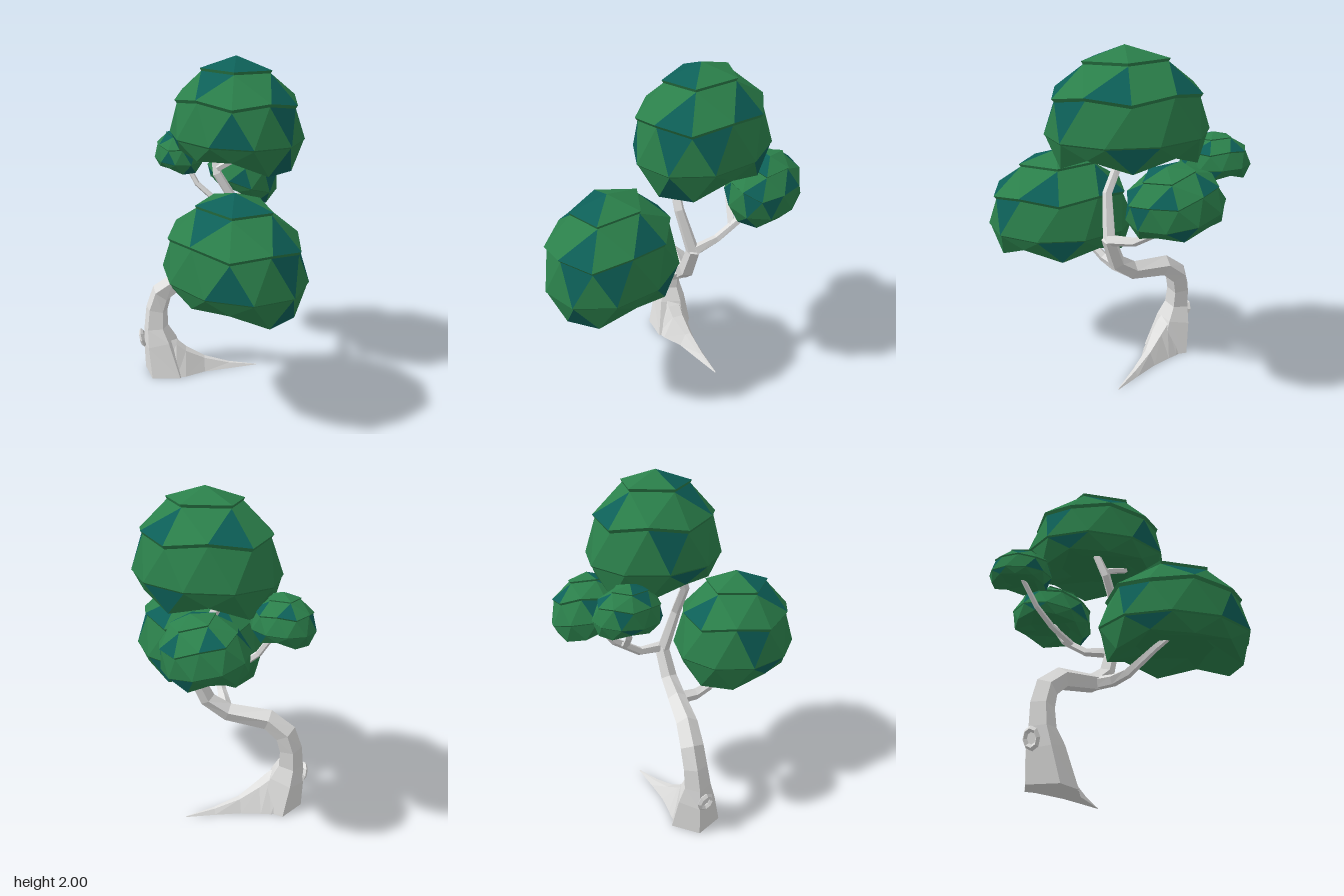
import * as THREE from 'three';

const bark = new THREE.MeshStandardMaterial({ color: 0xdededd, flatShading: true, name: 'paleBark' });
const green = new THREE.MeshStandardMaterial({ color: 0x2b804b, flatShading: true, name: 'leafGreen' });
const teal = new THREE.MeshStandardMaterial({ color: 0x0d6058, flatShading: true, name: 'leafTeal' });

const V = (x, y, z) => new THREE.Vector3(x, y, z);

function facesToGeometry(points) {
  const g = new THREE.BufferGeometry().setFromPoints(points);
  g.computeVertexNormals();
  return g;
}

// Skin a list of equal-sized rings and close both ends
function loft(rings) {
  const out = [], n = rings[0].length;
  for (let i = 0; i < rings.length - 1; i++)
    for (let j = 0; j < n; j++) {
      const k = (j + 1) % n, a = rings[i], b = rings[i + 1];
      out.push(a[j], b[j], b[k], a[j], b[k], a[k]);
    }
  const first = rings[0], last = rings[rings.length - 1];
  for (let j = 1; j < n - 1; j++) {
    out.push(first[0], first[j], first[j + 1]);
    out.push(last[0], last[j + 1], last[j]);
  }
  return facesToGeometry(out);
}

// Tapering five-sided limb through points [x, y, z, radius]
function limb(name, path) {
  const pts = path.map(p => V(p[0], p[1], p[2]));
  const rings = pts.map((p, i) => {
    const t = pts[Math.min(i + 1, pts.length - 1)].clone().sub(pts[Math.max(i - 1, 0)]).normalize();
    if (i === 0 && p.y === 0) t.set(0, 1, 0);
    const q = new THREE.Quaternion().setFromUnitVectors(V(0, 1, 0), t);
    return Array.from({ length: 5 }, (_, j) => {
      const a = (j + 0.75) / 5 * Math.PI * 2;
      return V(Math.cos(a), 0, Math.sin(a)).multiplyScalar(path[i][3]).applyQuaternion(q).add(p);
    });
  });
  const mesh = new THREE.Mesh(loft(rings), bark);
  mesh.name = name;
  return mesh;
}

const tealFaces = new Set([0, 1, 5, 9, 14, 17, 20, 23, 28, 38, 41, 46, 54]);
// Drop of the ragged hem at each of its ten corners
const hem = [-0.35, -0.35, -0.18, -0.22, -0.18, -0.33, -0.34, -0.18, -0.31, -0.17];

// Layered dome: unit sphere facets with small overhanging lips and a hollow underside
function foliageGeometry() {
  const lists = [[], []];
  let id = 0;
  const add = (a, b, c, list = 0) => lists[list].push(a, c, b);
  const leaf = (a, b, c) => add(a, b, c, tealFaces.has(id++) ? 1 : 0);
  const ring = (n, start, fn) => Array.from({ length: n }, (_, j) => {
    const a = THREE.MathUtils.degToRad(start + j * 360 / n), [r, y] = fn(j);
    return V(Math.cos(a) * r, y, Math.sin(a) * r);
  });
  const inset = (r, s, dy) => r.map(p => V(p.x * s, p.y + dy, p.z * s));
  const lip = (o, i) => o.forEach((p, j) => {
    const k = (j + 1) % o.length;
    add(p, i[j], i[k]);
    add(p, i[k], o[k]);
  });
  const apex = V(0, 1, 0);
  const cap = ring(5, 66, () => [0.54, 0.85]);
  const shoulder = ring(10, 66, j => j % 2 ? [0.88, 0.525] : [0.92, 0.46]);
  const equator = ring(10, 84, () => [1, 0.01]);
  const skirt = ring(10, 66, j => [0.86, hem[j]]);
  const cap2 = inset(cap, 0.96, -0.035);
  const shoulder2 = inset(shoulder, 0.965, -0.04);
  const equator2 = inset(equator, 0.98, -0.02);

  // Top cap
  for (let k = 0; k < 5; k++) leaf(apex, cap[k], cap[(k + 1) % 5]);
  lip(cap, cap2);
  // Upper band
  for (let k = 0; k < 5; k++) {
    const n = (k + 1) % 5, s = shoulder, m = s[2 * k + 1];
    leaf(cap2[k], s[2 * k], m);
    leaf(m, cap2[n], cap2[k]);
    leaf(cap2[n], m, s[2 * n]);
  }
  lip(shoulder, shoulder2);
  // Middle band
  for (let j = 0; j < 10; j++) {
    const k = (j + 1) % 10;
    leaf(equator[j], shoulder2[k], shoulder2[j]);
    leaf(shoulder2[k], equator[j], equator[k]);
  }
  lip(equator, equator2);
  // Hanging skirt
  for (let j = 0; j < 10; j++) {
    const k = (j + 1) % 10;
    leaf(skirt[k], equator2[k], equator2[j]);
    leaf(equator2[j], skirt[j], skirt[k]);
  }
  // Hollow underside
  const hollow = ring(10, 66, () => [0.5, -0.13]), roof = V(0, -0.06, 0);
  lip(skirt, hollow);
  hollow.forEach((p, j) => add(roof, hollow[(j + 1) % 10], p));

  const g = facesToGeometry([...lists[0], ...lists[1]]);
  g.addGroup(0, lists[0].length, 0);
  g.addGroup(lists[0].length, lists[1].length, 1);
  return g;
}

export function createModel() {
  const tree = new THREE.Group();
  tree.name = 'bonsaiTree';

  // Leaning trunk and branches
  tree.add(
    limb('trunk', [[-0.325, 0, -0.17, 0.15], [-0.37, 0.2, -0.185, 0.112], [-0.392, 0.3, -0.19, 0.08],
      [-0.385, 0.42, -0.2, 0.072], [-0.35, 0.53, -0.2, 0.07], [-0.25, 0.615, -0.17, 0.065],
      [-0.02, 0.65, -0.1, 0.057], [0.1, 0.74, -0.085, 0.05], [0.18, 0.92, -0.09, 0.043]]),
    limb('topBranch', [[0.17, 0.89, -0.09, 0.04], [0.11, 1.16, -0.025, 0.03],
      [0, 1.34, -0.03, 0.028], [-0.02, 1.5, -0.09, 0.024]]),
    limb('topTwig', [[0, 1.37, -0.03, 0.022], [0.07, 1.41, -0.02, 0.02], [0.2, 1.47, 0, 0.018]]),
    limb('frontBranch', [[-0.01, 0.65, -0.1, 0.042], [-0.02, 0.645, 0.03, 0.037],
      [-0.02, 0.67, 0.12, 0.03], [0, 0.8, 0.29, 0.023], [0.03, 0.86, 0.36, 0.018]]),
    limb('backBranch', [[0.18, 0.91, -0.09, 0.035], [0.15, 0.935, -0.25, 0.026],
      [0.15, 1.04, -0.41, 0.024], [0.17, 1.19, -0.52, 0.02]]),
    limb('backTwig', [[0.15, 1.0, -0.35, 0.022], [0, 1.08, -0.41, 0.02],
      [-0.12, 1.18, -0.45, 0.018], [-0.21, 1.34, -0.5, 0.016]]));

  // Long root tapering along the ground: [x, height, half width, centre z]
  const rootRings = [[-0.36, 0.27, 0.11, -0.18], [-0.26, 0.2, 0.115, -0.17], [-0.2, 0.15, 0.1, -0.17],
    [-0.08, 0.08, 0.055, -0.19], [0.08, 0.032, 0.03, -0.205], [0.26, 0.003, 0.003, -0.225]]
    .map(([x, h, w, z]) => [V(x, 0, z - w), V(x, 0, z + w), V(x, h, z + w * 0.35), V(x, h, z - w * 0.35)]);
  const root = new THREE.Mesh(loft(rootRings), bark);
  root.name = 'root';
  tree.add(root);

  // Knot ring on the outer side of the trunk
  const knot = new THREE.Mesh(new THREE.TorusGeometry(0.04, 0.014, 4, 8), bark);
  knot.name = 'knot';
  knot.position.set(-0.48, 0.225, -0.185);
  knot.rotation.set(0, Math.PI / 2, 0.2, 'ZYX');
  knot.scale.y = 1.2;
  tree.add(knot);

  // Foliage pads: name, centre, radii, turn as [tilt x, spin y, tilt z]
  const geometry = foliageGeometry();
  for (const [name, pos, size, turn] of [
    ['topFoliage', [0.11, 1.54, -0.16], [0.365, 0.46, 0.445], [0.04, 0.63, 0]],
    ['frontFoliage', [0.08, 0.875, 0.375], [0.365, 0.46, 0.445], [0.04, 0.63, 0]],
    ['backLeftFoliage', [0.17, 1.205, -0.53], [0.215, 0.26, 0.265], [0.05, 0.63, -0.28]],
    ['backRightFoliage', [-0.23, 1.345, -0.505], [0.16, 0.185, 0.2], [0.1, 0.3, 0]]]) {
    const pad = new THREE.Mesh(geometry, [green, teal]);
    pad.name = name;
    pad.position.set(...pos);
    pad.scale.set(...size);
    pad.rotation.set(...turn, 'XZY');
    tree.add(pad);
  }
  return tree;
}
